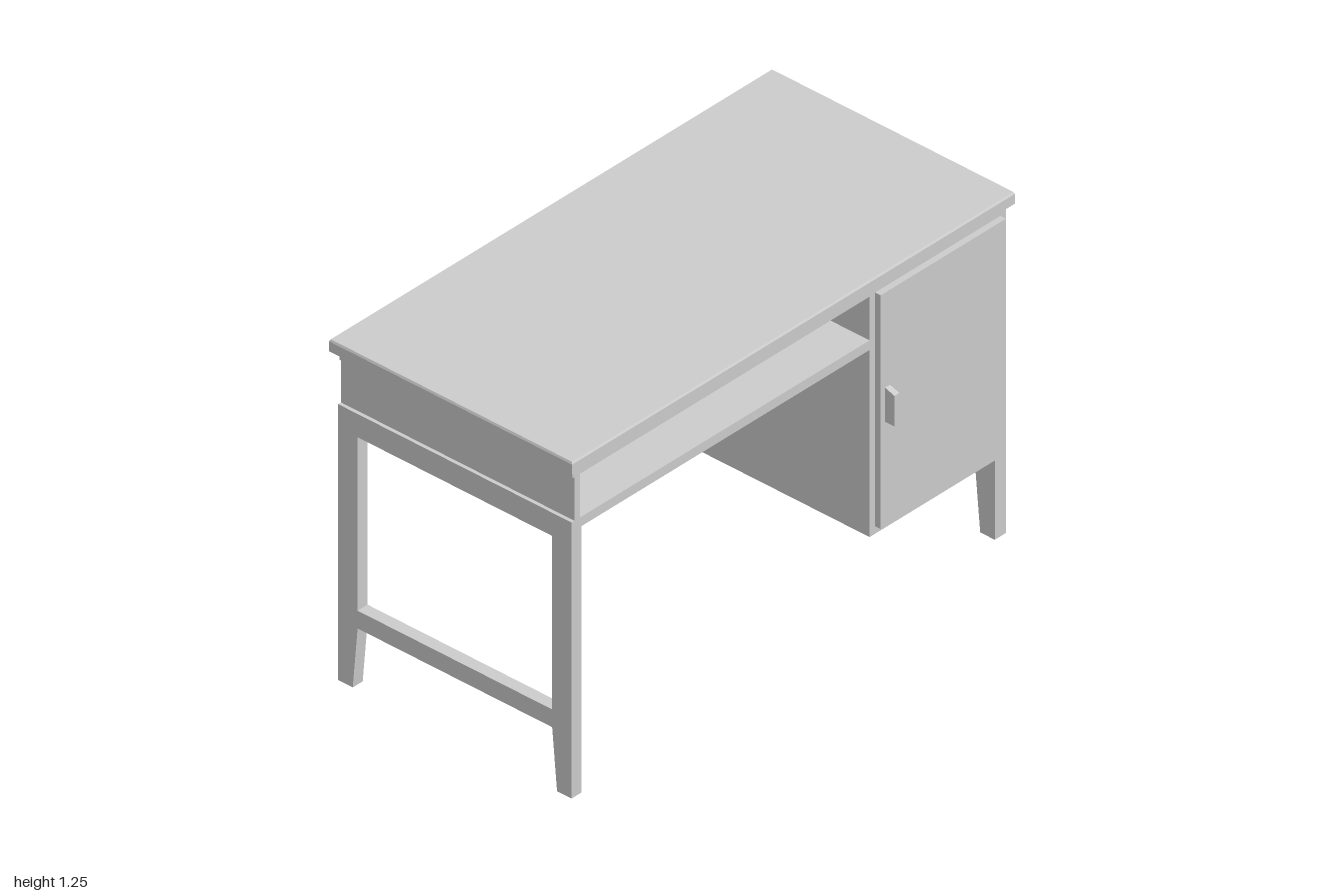
import * as THREE from 'three';

export function createModel() {
  const group = new THREE.Group();
  const material = new THREE.MeshStandardMaterial({ color: 0xcccccc, flatShading: true });
  const BACK = -0.5, FRONT = 0.46;

  function add(name, geometry) {
    const mesh = new THREE.Mesh(geometry, material);
    mesh.name = name;
    group.add(mesh);
  }
  // Box given by its extents
  function box(name, x0, x1, y0, y1, z0 = BACK, z1 = FRONT) {
    add(name, new THREE.BoxGeometry(x1 - x0, y1 - y0, z1 - z0)
      .translate((x0 + x1) / 2, (y0 + y1) / 2, (z0 + z1) / 2));
  }
  // Side profile in [z, y] points, extruded from x0 to x1
  function sidePart(name, points, x0, x1, hole) {
    const toShape = (Type, pts) => new Type(pts.map(([z, y]) => new THREE.Vector2(-z, y)));
    const shape = toShape(THREE.Shape, points);
    if (hole) shape.holes.push(toShape(THREE.Path, hole));
    add(name, new THREE.ExtrudeGeometry(shape, { depth: x1 - x0, bevelEnabled: false })
      .rotateY(Math.PI / 2).translate(x0, 0, 0));
  }
  // Outline of an end frame standing on two tapered feet
  const endOutline = (top) => [
    [FRONT, 0], [0.4, 0], [0.38, 0.225], [-0.42, 0.225],
    [-0.44, 0], [BACK, 0], [BACK, top], [FRONT, top],
  ];

  // Desk top with a fine chamfer around its upper edge
  box('topSlab', -1, 1, 1.205, 1.241, -0.52, 0.48);
  const chamfer = new THREE.BoxGeometry(2, 0.007, 1).translate(0, 1.2445, -0.02);
  const p = chamfer.attributes.position;
  for (let i = 0; i < p.count; i++) {
    if (p.getY(i) > 1.2445) {
      p.setX(i, p.getX(i) * 0.996);
      p.setZ(i, -0.02 + (p.getZ(i) + 0.02) * 0.992);
    }
  }
  chamfer.computeVertexNormals();
  add('topChamfer', chamfer);

  // Open compartment beneath the top
  box('underTopPanel', -0.975, 0.365, 1.17, 1.205);
  box('compartmentSide', -0.967, -0.943, 1.01, 1.17);
  box('shelf', -0.935, 0.365, 0.975, 1.01);

  // Open leg frame at one end, solid panel at the other
  sidePart('legFrame', endOutline(1.01), -0.98, -0.935,
    [[0.38, 0.29], [0.38, 0.925], [-0.42, 0.925], [-0.42, 0.29]]);
  sidePart('endPanel', endOutline(1.205), 0.93, 0.98);

  // Cabinet with door and handle
  box('cabinet', 0.365, 0.93, 0.29, 1.205);
  box('door', 0.39, 0.955, 0.317, 1.173, FRONT, 0.483);
  sidePart('doorHandle', [[0.483, 0.7], [0.521, 0.7], [0.521, 0.812], [0.483, 0.825]], 0.41, 0.432);

  return group;
}
